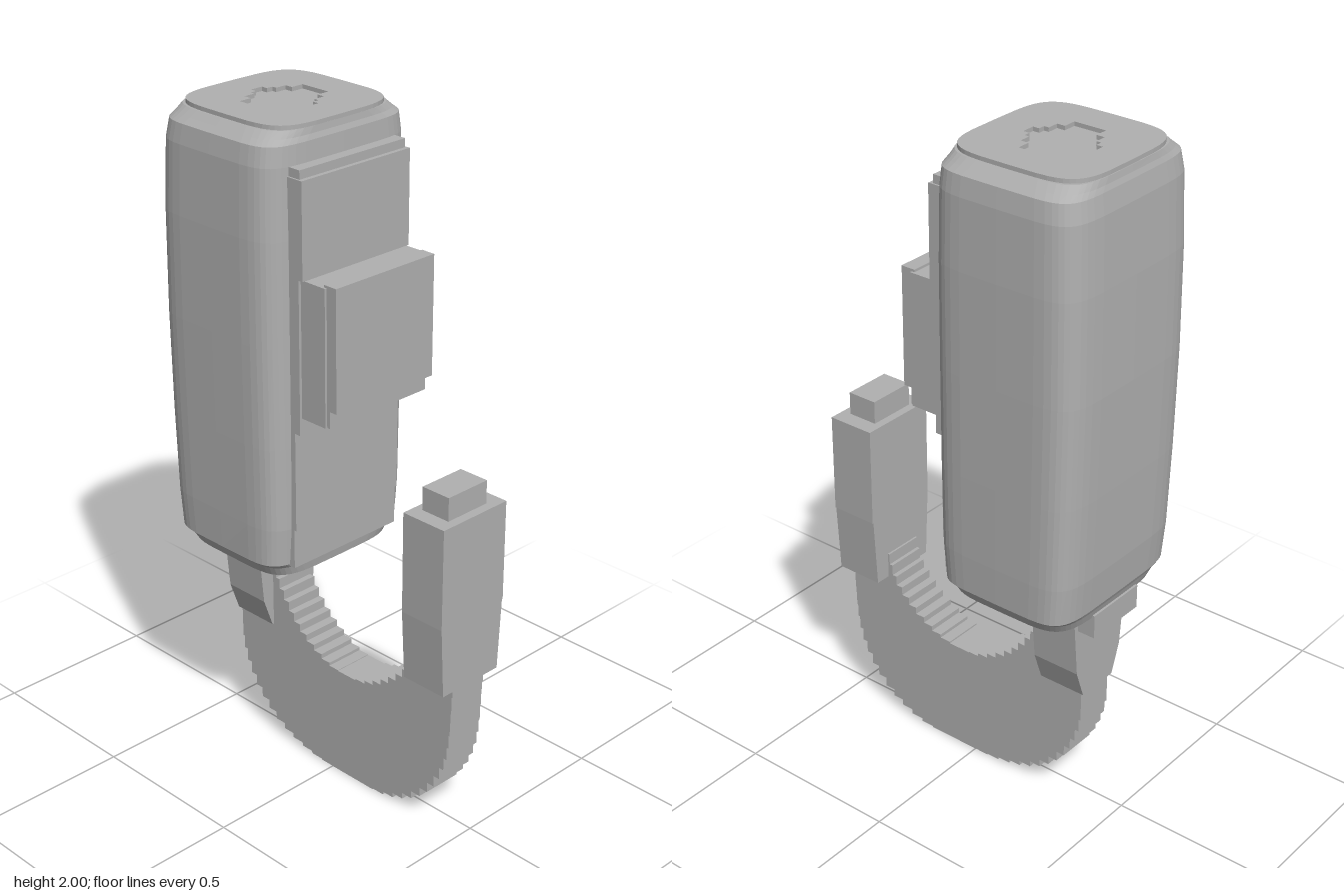
import * as THREE from 'three';

const grey = new THREE.MeshStandardMaterial({ color: 0xb0b0b0, flatShading: true });
grey.name = 'plain grey';

export function createModel() {
  const model = new THREE.Group();
  const add = (name, geometry) => {
    const mesh = new THREE.Mesh(geometry, grey);
    mesh.name = name;
    model.add(mesh);
    return mesh;
  };

  // Box given by its limits; z limits are symmetric unless z1 is given
  const box = (name, x0, x1, y0, y1, z, z1 = z) => {
    const g = new THREE.BoxGeometry(x1 - x0, y1 - y0, z + z1);
    g.translate((x0 + x1) / 2, (y0 + y1) / 2, (z - z1) / 2);
    return add(name, g);
  };

  // Rounded rectangle outline as [x, z] pairs
  const outline = (x0, x1, z, power, n = 48) => Array.from({ length: n }, (_, i) => {
    const a = (i / n) * Math.PI * 2;
    const bend = v => Math.sign(v) * Math.pow(Math.abs(v), 2 / power);
    return [(x0 + x1) / 2 + bend(Math.cos(a)) * (x1 - x0) / 2, bend(Math.sin(a)) * z];
  });

  // Closed solid through rows of [y, x0, x1, halfDepth, power]
  const loft = (rows) => {
    const n = 48, pos = [], idx = [];
    rows.forEach(([y, x0, x1, z, p]) => outline(x0, x1, z, p, n).forEach(([x, zz]) => pos.push(x, y, zz)));
    for (let r = 0; r < rows.length - 1; r++) {
      for (let i = 0; i < n; i++) {
        const a = r * n + i, b = r * n + (i + 1) % n;
        idx.push(a, a + n, b, b, a + n, b + n);
      }
    }
    const last = (rows.length - 1) * n;
    for (let i = 1; i < n - 1; i++) idx.push(0, i, i + 1, last, last + i + 1, last + i);
    const g = new THREE.BufferGeometry();
    g.setAttribute('position', new THREE.Float32BufferAttribute(pos, 3));
    g.setIndex(idx);
    g.computeVertexNormals();
    return g;
  };

  // Main housing, slightly bulged with stepped ends
  add('housing', loft([
    [0.69, -0.445, -0.03, 0.235, 5],
    [0.72, -0.455, -0.025, 0.25, 5.5],
    [0.735, -0.462, -0.02, 0.266, 6],
    [0.85, -0.472, -0.012, 0.27, 6],
    [1.1, -0.48, -0.01, 0.273, 6],
    [1.4, -0.485, -0.01, 0.275, 6],
    [1.7, -0.482, -0.01, 0.275, 6],
    [1.9, -0.474, -0.012, 0.27, 6],
    [1.955, -0.465, -0.015, 0.262, 6],
    [1.97, -0.46, -0.02, 0.245, 5.5],
    [1.988, -0.457, -0.022, 0.225, 5],
  ]));

  // Top cap with a stepped cross-shaped recess
  const cap = new THREE.Shape(outline(-0.455, -0.022, 0.22, 4.5).map(p => new THREE.Vector2(...p)));
  const quarter = [[0.11, 0.02], [0.09, 0.04], [0.075, 0.075], [0.05, 0.09], [0.05, 0.115]];
  const cross = [];
  const corner = (sx, sz, list) => list.forEach(([x, z]) => cross.push(new THREE.Vector2(-0.24 + sx * x, sz * z)));
  const stairs = quarter.flatMap((p, i) => i ? [[p[0], quarter[i - 1][1]], p] : [p]);
  const back = [...stairs].reverse();
  corner(1, 1, stairs);
  corner(-1, 1, back);
  corner(-1, -1, stairs);
  corner(1, -1, back);
  cap.holes.push(new THREE.Path(cross));
  const capGeo = new THREE.ExtrudeGeometry(cap, { depth: 0.014, bevelEnabled: false });
  capGeo.rotateX(Math.PI / 2).translate(0, 2, 0);
  add('topCap', capGeo);

  // Side plates and the projecting block
  box('lowerSidePlate', -0.04, 0.0, 0.85, 1.16, 0.2);
  box('lowerSidePlateFoot', -0.04, -0.008, 0.73, 0.85, 0.2);
  box('middleSidePlate', -0.04, 0.02, 1.15, 1.62, 0.2);
  box('upperSidePlate', -0.04, 0.035, 1.6, 1.875, 0.2);
  box('upperSidePlateLip', -0.04, 0.022, 1.875, 1.9, 0.195);
  box('blockBase', 0.0, 0.11, 1.2, 1.6, 0.192);
  box('blockFace', 0.1, 0.145, 1.25, 1.607, 0.185);
  box('blockLowerLip', 0.1, 0.12, 1.2, 1.25, 0.185);

  // Curved hook with a stepped edge
  const staircase = (points, count, verticalFirst) => {
    const curve = new THREE.CatmullRomCurve3(points.map(([x, y]) => new THREE.Vector3(x, y, 0)));
    const s = curve.getSpacedPoints(count);
    return s.flatMap((p, i) => {
      const here = new THREE.Vector2(p.x, p.y);
      if (i === 0) return [here];
      const q = s[i - 1], vertical = verticalFirst(p, q);
      return [vertical ? new THREE.Vector2(q.x, p.y) : new THREE.Vector2(p.x, q.y), here];
    });
  };
  const outer = [[-0.39, 0.42], [-0.385, 0.3], [-0.34, 0.185], [-0.28, 0.11], [-0.2, 0.05], [-0.07, 0.007],
    [0.06, 0], [0.19, 0.007], [0.31, 0.06], [0.4, 0.15], [0.455, 0.27], [0.475, 0.5]];
  const inner = [[0.34, 0.6], [0.3, 0.49], [0.22, 0.41], [0.13, 0.36], [0.05, 0.345],
    [-0.02, 0.36], [-0.12, 0.42], [-0.19, 0.5], [-0.235, 0.58], [-0.25, 0.66]];
  const hook = new THREE.Shape([
    ...staircase(outer, 34, (p, q) => p.y < q.y),
    new THREE.Vector2(0.475, 0.6),
    ...staircase(inner, 24, (p, q) => p.y < q.y),
    new THREE.Vector2(-0.39, 0.66),
  ]);
  const hookGeo = new THREE.ExtrudeGeometry(hook, { depth: 0.125, bevelEnabled: false });
  hookGeo.translate(0, 0, -0.0625);
  add('hook', hookGeo);

  // Block whose depth narrows from z at the top to zBottom below
  const tapered = (name, x0, x1, y0, y1, z, zBottom) => {
    const mesh = box(name, x0, x1, y0, y1, z);
    const p = mesh.geometry.attributes.position, mid = (y0 + y1) / 2;
    for (let i = 0; i < p.count; i++) if (p.getY(i) < mid) p.setZ(i, Math.sign(p.getZ(i)) * zBottom);
    mesh.geometry.computeVertexNormals();
  };

  // Stem below the housing
  tapered('stem', -0.4, -0.25, 0.48, 0.71, 0.122, 0.1);
  tapered('stemTip', -0.4, -0.25, 0.39, 0.48, 0.1, 0.068);
  box('stemNub', -0.455, -0.395, 0.627, 0.7, 0.1);
  box('stemCollar', -0.26, -0.222, 0.675, 0.7, 0.1);

  // Upright arm with its end tip
  box('arm', 0.335, 0.483, 0.7, 1.005, 0.122, 0.125);
  tapered('armFoot', 0.335, 0.483, 0.485, 0.7, 0.122, 0.11);
  box('armTip', 0.36, 0.455, 1.0, 1.075, 0.075);

  return model;
}
